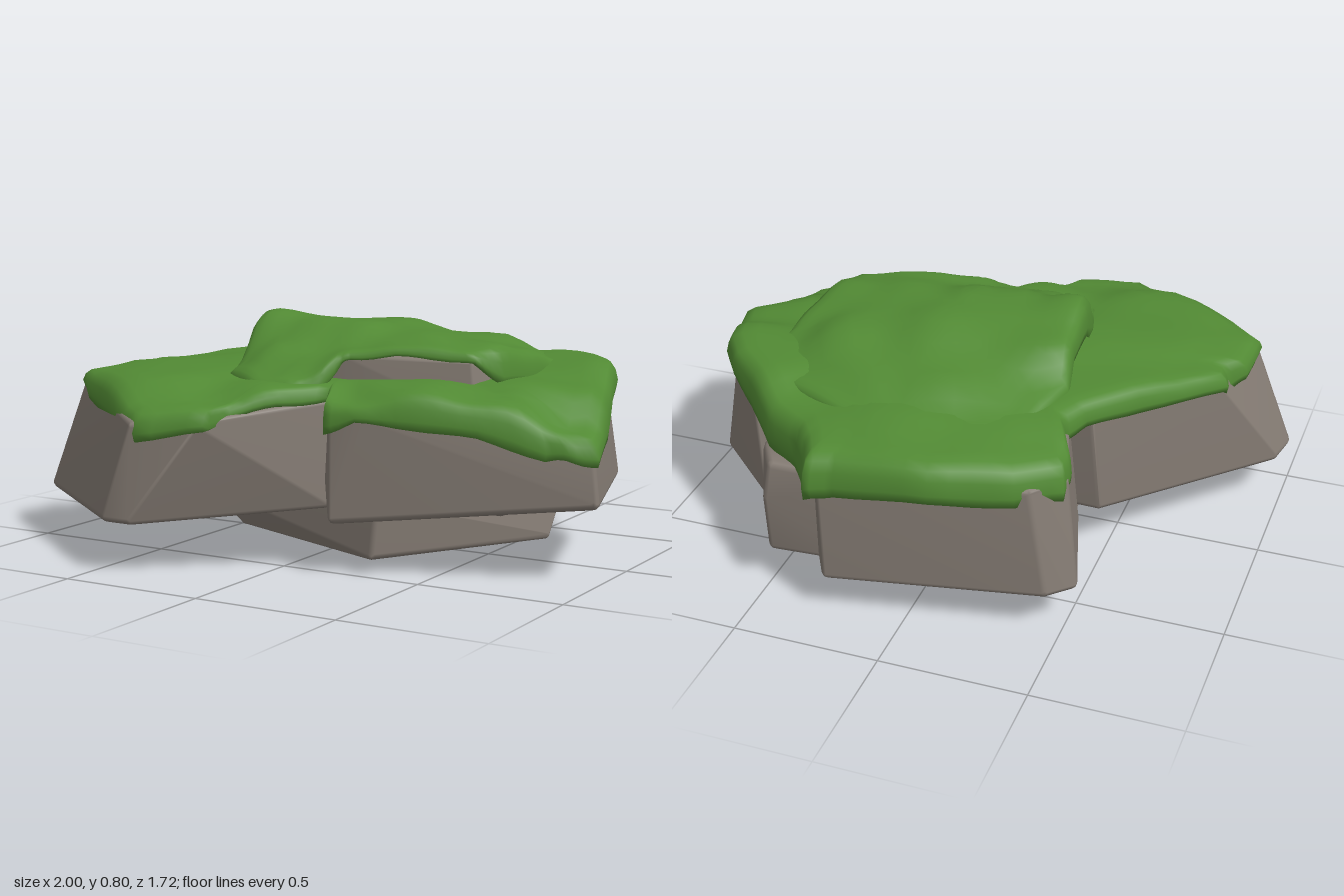
import * as THREE from 'three';
import { ConvexGeometry } from 'three/addons/geometries/ConvexGeometry.js';
import { mergeVertices } from 'three/addons/utils/BufferGeometryUtils.js';

const stone = new THREE.MeshStandardMaterial({ color: 0x847b73 });
stone.name = 'warm grey stone';
const moss = new THREE.MeshStandardMaterial({ color: 0x528a34, side: THREE.DoubleSide });
moss.name = 'moss green';

// Convex boulder with rounded edges: a small ball at every corner, wrapped in a hull
function boulder(name, corners, r = 0.022) {
  const ball = new THREE.IcosahedronGeometry(r, 1).getAttribute('position');
  const points = [];
  for (const [x, y, z] of corners) {
    for (let i = 0; i < ball.count; i++) {
      points.push(new THREE.Vector3(x, y, z).add(new THREE.Vector3().fromBufferAttribute(ball, i)));
    }
  }
  let geo = new ConvexGeometry(points);
  geo.deleteAttribute('normal');
  geo = mergeVertices(geo, 1e-4);
  geo.computeVertexNormals(); // area weighted, so the broad faces stay flat
  const mesh = new THREE.Mesh(geo, stone);
  mesh.name = name;
  return mesh;
}

// Moss blanket: rings growing from a centre to an outline of [x, z, lip height],
// draped over sample heights [x, y, z] and rolled down at the rim
function blanket(name, cx, cz, outline, heights) {
  const height = (x, z) => {
    let sum = 0, total = 0;
    for (const [hx, hy, hz] of heights) {
      const w = 1 / ((x - hx) ** 2 + (z - hz) ** 2 + 0.008) ** 2;
      sum += w * hy;
      total += w;
    }
    return sum / total + 0.002 * Math.sin(x * 17 + z * 5) * Math.sin(z * 15 - x * 4);
  };
  const rim = [], split = 4;
  outline.forEach(([x, z, lip], i) => {
    const [nx, nz, nlip] = outline[(i + 1) % outline.length];
    for (let k = 0; k < split; k++) {
      const t = k / split, n = rim.length;
      rim.push([x + (nx - x) * t, z + (nz - z) * t, lip + (nlip - lip) * t + 0.005 * Math.sin(n * 0.9)]);
    }
  });
  // [reach, how far the height has dropped towards the lip]
  const rings = [[0.12, 0], [0.25, 0], [0.38, 0], [0.5, 0], [0.6, 0], [0.7, 0], [0.79, 0], [0.87, 0],
    [0.93, 0.03], [0.97, 0.15], [0.99, 0.4], [1, 0.75], [0.995, 1], [0.96, 0.95]];
  const pos = [cx, height(cx, cz), cz], index = [], n = rim.length;
  rings.forEach(([s, drop], r) => rim.forEach(([x, z, lip], i) => {
    const px = cx + (x - cx) * s, pz = cz + (z - cz) * s;
    const top = height(px, pz);
    pos.push(px, top + (lip - top) * drop, pz);
    const j = (i + 1) % n, c = 1 + r * n;
    if (r === 0) index.push(0, c + i, c + j);
    else index.push(c - n + i, c + i, c + j, c - n + i, c + j, c - n + j);
  }));
  const geo = new THREE.BufferGeometry();
  geo.setAttribute('position', new THREE.Float32BufferAttribute(pos, 3));
  geo.setIndex(index);
  geo.computeVertexNormals();
  const mesh = new THREE.Mesh(geo, moss);
  mesh.name = name;
  return mesh;
}

export function createModel() {
  const group = new THREE.Group();
  group.name = 'mossyRocks';

  // Stacked boulders
  group.add(
    boulder('frontLeftBoulder', [
      [-0.98, 0.185, 0.45], [-0.46, 0.185, 0.835], [-0.37, 0.185, 0.835], [0.115, 0.22, 0.43],
      [0.02, 0.22, -0.2], [-0.48, 0.21, -0.2], [-0.96, 0.185, 0.34],
      [-0.85, 0.54, 0.42], [-0.36, 0.48, 0.82], [-0.16, 0.49, 0.75], [0.115, 0.54, 0.41],
      [0.02, 0.57, -0.2], [-0.45, 0.56, -0.22], [-0.78, 0.54, 0.14]]),
    boulder('frontRightBoulder', [
      [0.2, 0.19, 0.51], [0.975, 0.265, 0.23], [0.8, 0.265, -0.34], [0.56, 0.265, -0.57], [0.0, 0.22, -0.3],
      [0.16, 0.3, 0.46], [0.19, 0.5, 0.49], [0.3, 0.51, 0.48], [0.96, 0.4, 0.23], [0.78, 0.58, -0.27],
      [0.7, 0.58, -0.36], [0.5, 0.57, -0.4], [0.05, 0.56, -0.2]]),
    boulder('backBoulder', [
      [-0.51, 0.16, -0.6], [-0.44, 0.16, -0.67], [0.25, 0.155, -0.8], [0.3, 0.155, -0.71],
      [0.2, 0.22, -0.2], [-0.42, 0.2, -0.3], [-0.46, 0.51, -0.56], [-0.38, 0.51, -0.66],
      [0.26, 0.53, -0.8], [0.32, 0.54, -0.68], [0.3, 0.57, -0.3], [-0.38, 0.56, -0.3]]),
    boulder('middleSlab', [
      [0.65, 0.21, 0.22], [0.5, 0.125, -0.67], [0.47, 0.115, -0.42], [0.2, 0.125, -0.65],
      [-0.2, 0.2, -0.3], [-0.2, 0.22, 0.2], [0.69, 0.23, 0.05], [0.7, 0.28, -0.2], [0.5, 0.32, -0.69],
      [0.49, 0.43, -0.67], [0.55, 0.42, -0.57], [0.2, 0.42, -0.65], [-0.1, 0.4, 0.1]]),
    boulder('baseSlab', [
      [0.56, 0.025, -0.31], [0.3, 0.07, 0.445], [-0.28, 0.1, 0.3], [-0.31, 0.1, -0.32],
      [0.56, 0.13, -0.39], [0.32, 0.24, 0.445], [-0.38, 0.2, 0.32], [-0.39, 0.17, -0.36]]),
    boulder('topBoulder', [
      [-0.3, 0.5, 0.2], [0.1, 0.5, 0.3], [0.52, 0.5, 0.17], [0.56, 0.5, 0], [0.3, 0.5, -0.25], [-0.3, 0.5, -0.2],
      [-0.3, 0.73, 0.1], [0.13, 0.67, 0.28], [0.5, 0.66, 0.16], [0.52, 0.66, 0], [0.3, 0.66, -0.2], [-0.29, 0.7, -0.15]]),
  );

  // Large blanket over all the lower boulders
  group.add(blanket('lowerMoss', 0.05, 0, [
    [-0.88, 0.43, 0.54], [-0.78, 0.53, 0.51], [-0.55, 0.7, 0.47], [-0.34, 0.85, 0.44], [-0.13, 0.77, 0.47],
    [-0.09, 0.68, 0.51], [0.02, 0.57, 0.54], [0.13, 0.43, 0.55], [0.17, 0.53, 0.46], [0.28, 0.52, 0.5],
    [0.45, 0.47, 0.49], [0.65, 0.39, 0.46], [0.85, 0.31, 0.4], [0.92, 0.29, 0.4], [1, 0.24, 0.38],
    [0.95, 0.05, 0.44], [0.89, -0.12, 0.52], [0.84, -0.28, 0.57], [0.77, -0.38, 0.56], [0.66, -0.48, 0.52],
    [0.54, -0.6, 0.45], [0.41, -0.68, 0.44], [0.35, -0.76, 0.44], [0.3, -0.86, 0.45], [0.21, -0.83, 0.47],
    [-0.1, -0.81, 0.49], [-0.35, -0.7, 0.47], [-0.48, -0.6, 0.46], [-0.48, -0.52, 0.49], [-0.41, -0.38, 0.54],
    [-0.46, -0.29, 0.55], [-0.6, -0.13, 0.55], [-0.83, 0.12, 0.53], [-0.82, 0.19, 0.49], [-0.87, 0.25, 0.52],
  ], [
    [-0.82, 0.6, 0.38], [-0.6, 0.63, 0.25], [-0.75, 0.61, 0.12], [-0.35, 0.54, 0.78], [-0.15, 0.55, 0.68],
    [-0.42, 0.62, 0.55], [-0.1, 0.61, 0.5], [0.07, 0.61, 0.37], [0.25, 0.55, 0.47], [0.28, 0.62, 0.36],
    [0.45, 0.62, 0.3], [0.62, 0.57, 0.32], [0.92, 0.48, 0.24], [0.7, 0.62, 0.1], [0.84, 0.6, 0],
    [0.78, 0.665, -0.25], [0.6, 0.665, -0.38], [0.47, 0.61, -0.6], [0.28, 0.61, -0.78], [-0.1, 0.62, -0.72],
    [-0.4, 0.6, -0.58], [-0.3, 0.64, -0.4], [0.1, 0.65, -0.5], [-0.45, 0.64, -0.15], [0, 0.64, 0], [-0.3, 0.65, 0.1],
  ]));

  // Raised blanket: melts into the lower one at the back and front left,
  // and lifts its lip at the front and left to bare the stone beneath
  group.add(blanket('upperMoss', 0.1, 0, [
    [0.13, 0.36, 0.66], [0.16, 0.34, 0.68], [0.3, 0.29, 0.69], [0.45, 0.24, 0.685], [0.55, 0.21, 0.67],
    [0.61, 0.12, 0.6], [0.64, -0.05, 0.58], [0.66, -0.22, 0.62], [0.52, -0.48, 0.6], [0.1, -0.64, 0.6],
    [-0.3, -0.5, 0.59], [-0.38, -0.24, 0.61], [-0.355, -0.1, 0.68], [-0.345, 0.08, 0.68], [-0.33, 0.2, 0.61],
    [-0.28, 0.4, 0.59], [-0.1, 0.5, 0.57], [0.02, 0.49, 0.56], [0.09, 0.43, 0.57],
  ], [
    [-0.28, 0.81, 0.1], [-0.1, 0.795, 0.12], [0.05, 0.785, 0.1], [0.3, 0.76, 0.1], [0.5, 0.74, 0.08],
    [0.1, 0.78, -0.1], [-0.28, 0.77, -0.12], [0.4, 0.735, -0.2], [0.6, 0.7, -0.05], [0.32, 0.725, 0.25],
    [0.52, 0.71, 0.19], [0.14, 0.71, 0.3], [0.04, 0.605, 0.46], [-0.1, 0.605, 0.48], [-0.28, 0.625, 0.38],
    [-0.15, 0.71, 0.28], [0.02, 0.69, 0.33], [-0.3, 0.63, -0.48], [-0.36, 0.66, -0.28], [-0.1, 0.625, -0.55],
    [0.1, 0.62, -0.62], [0.3, 0.63, -0.55], [0.52, 0.64, -0.46], [0.64, 0.65, -0.24],
    [0.25, 0.7, -0.38], [0, 0.71, -0.36],
  ]));

  return group;
}
